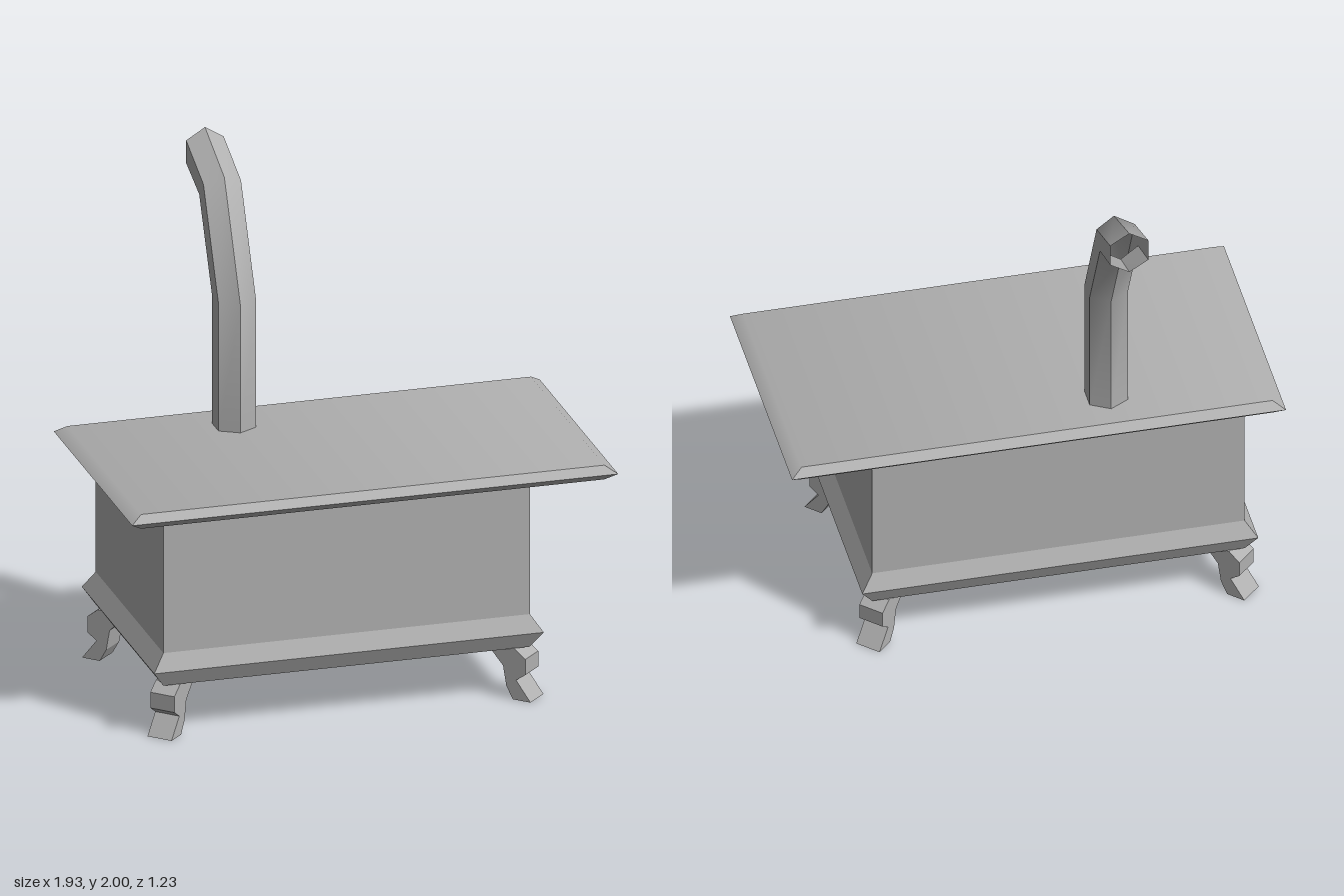
import * as THREE from 'three';
import { toCreasedNormals } from 'three/addons/utils/BufferGeometryUtils.js';

// Skin between rings of points, listed bottom to top, counterclockwise from above
function loft(rings, crease, capped) {
  const pos = [];
  const tri = (...pts) => pts.forEach((p) => pos.push(...p));
  const n = rings[0].length;
  for (let i = 0; i < rings.length - 1; i++) {
    for (let j = 0; j < n; j++) {
      const k = (j + 1) % n;
      const a = rings[i][j], b = rings[i][k], c = rings[i + 1][k], d = rings[i + 1][j];
      tri(a, b, c);
      tri(a, c, d);
    }
  }
  if (capped) {
    const lo = rings[0], hi = rings[rings.length - 1];
    for (let j = 1; j < n - 1; j++) {
      tri(hi[0], hi[j], hi[j + 1]);
      tri(lo[0], lo[j + 1], lo[j]);
    }
  }
  const geo = new THREE.BufferGeometry();
  geo.setAttribute('position', new THREE.Float32BufferAttribute(pos, 3));
  return toCreasedNormals(geo, crease);
}

// Rectangular ring at height y, grown by dx and dz
function rect([x0, x1, z0, z1], y, dx = 0, dz = 0) {
  return [
    [x0 - dx, y, z1 + dz], [x1 + dx, y, z1 + dz],
    [x1 + dx, y, z0 - dz], [x0 - dx, y, z0 - dz],
  ];
}

export function createModel() {
  const model = new THREE.Group();
  const iron = new THREE.MeshStandardMaterial({ color: 0xb0b0b0, side: THREE.DoubleSide });
  iron.name = 'castIron';

  const add = (name, geo) => {
    const mesh = new THREE.Mesh(geo, iron);
    mesh.name = name;
    model.add(mesh);
    return mesh;
  };

  // Firebox with flared skirt, open underneath
  const box = [-0.82, 0.635, -0.358, 0.545];
  add('firebox', loft([
    rect(box, 0.205),
    rect(box, 0.27, 0.046, 0.032),
    rect(box, 0.338),
    rect(box, 0.875),
  ], 0.1, false));

  // Cooktop slab with bevelled rim
  const top = [-0.92, 0.92, -0.398, 0.583];
  add('cooktop', loft([
    rect(top, 0.87),
    rect(top, 0.899, 0.045, 0.033),
    rect(top, 0.928),
  ], 0.65, true));

  // Six-sided stovepipe; each station gives front edge and back edge as [z, y]
  const stations = [
    [[-0.14, 0.92], [-0.31, 0.92]],
    [[-0.14, 1.445], [-0.31, 1.445]],
    [[-0.355, 1.89], [-0.47, 1.768]],
    [[-0.615, 2.0], [-0.615, 1.815]],
  ];
  const pipeRings = stations.map(([front, back]) => {
    const ring = [];
    for (let j = 0; j < 6; j++) {
      const a = (j * Math.PI) / 3;
      const t = (1 - Math.cos(a)) / 2;
      ring.push([
        -0.31 + 0.086 * Math.sin(a),
        THREE.MathUtils.lerp(front[1], back[1], t),
        THREE.MathUtils.lerp(front[0], back[0], t),
      ]);
    }
    return ring;
  });
  add('stovepipe', loft(pipeRings, 0.65, false));

  // Curved legs: one side profile, set diagonally at each corner
  const profile = [
    [0.022, 0], [-0.022, 0.08], [0.006, 0.108], [0.006, 0.172], [-0.026, 0.207],
    [-0.112, 0.207], [-0.062, 0.13], [-0.052, 0.05], [-0.032, 0],
  ];
  const halfWidth = 0.052;
  const shape = new THREE.Shape(profile.map(([s, y]) => new THREE.Vector2(s * Math.SQRT2, y)));
  const legGeo = new THREE.ExtrudeGeometry(shape, { depth: 2 * halfWidth, bevelEnabled: false });
  legGeo.translate(0, 0, -halfWidth);
  for (const sx of [-1, 1]) {
    for (const sz of [-1, 1]) {
      const name = (sz > 0 ? 'front' : 'back') + (sx > 0 ? 'Left' : 'Right') + 'Leg';
      const leg = add(name, legGeo);
      leg.position.set(sx > 0 ? box[1] : box[0], 0, sz > 0 ? box[3] : box[2]);
      leg.rotation.y = Math.atan2(-sz, sx);
    }
  }

  return model;
}
